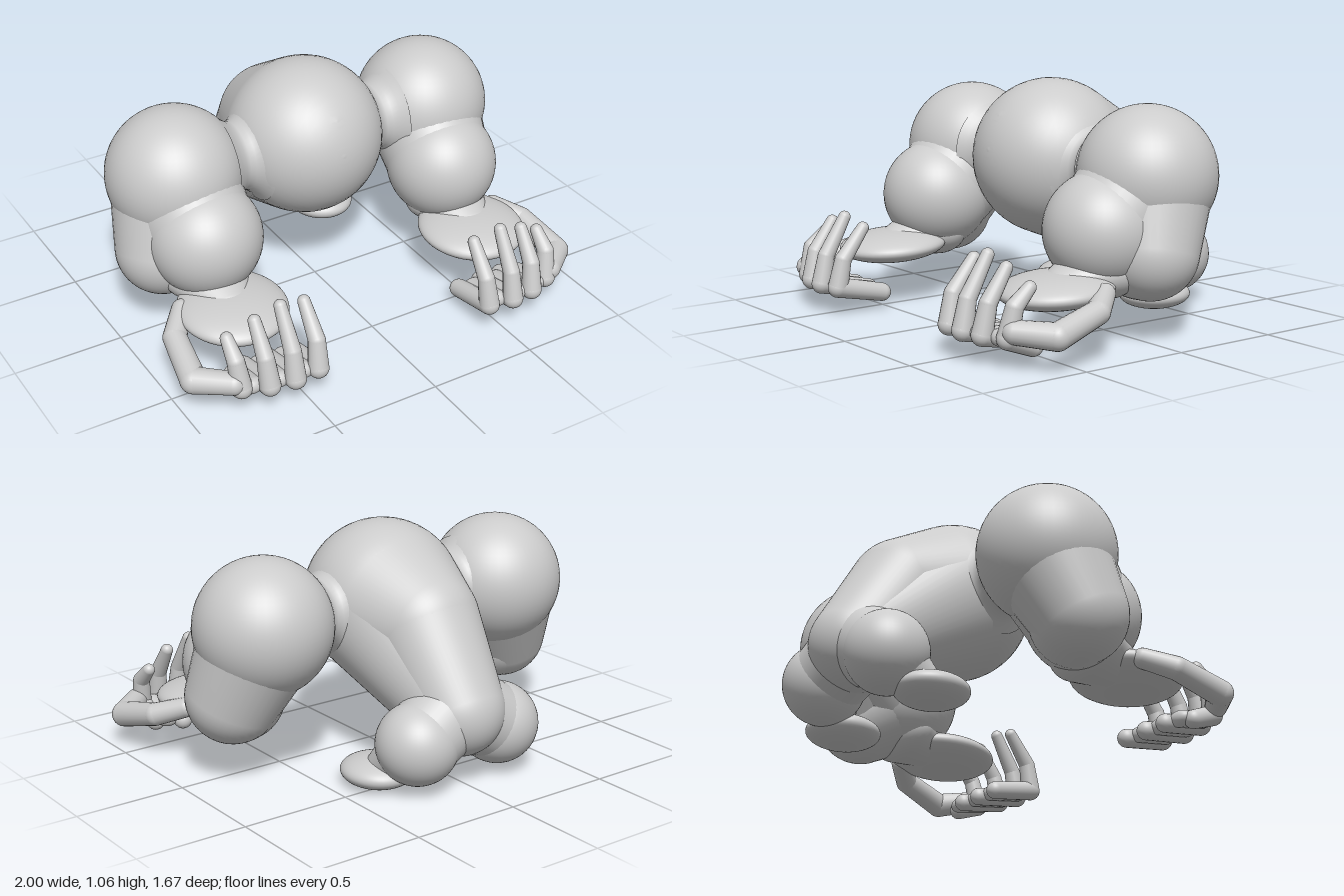
import * as THREE from 'three';

const material = new THREE.MeshStandardMaterial({ color: 0xcccccc, roughness: 0.8 });
const V = (p) => new THREE.Vector3(p[0], p[1], p[2]);

function add(parent, name, geometry) {
  const mesh = new THREE.Mesh(geometry, material);
  mesh.name = name;
  parent.add(mesh);
  return mesh;
}

// Ball (or ellipsoid when r is a list of three radii)
function ball(parent, name, p, r, tilt = 0) {
  const mesh = add(parent, name, new THREE.SphereGeometry(1, 48, 32));
  mesh.position.copy(V(p));
  Array.isArray(r) ? mesh.scale.set(...r) : mesh.scale.setScalar(r);
  mesh.rotation.x = tilt;
  return mesh;
}

// Smooth hull of two balls; each point is [x, y, z, radius]
function limb(parent, name, a, b, sides = 40) {
  const dir = V(b).sub(V(a));
  const d = dir.length();
  const t = Math.asin((a[3] - b[3]) / d);
  const profile = [];
  const arc = (r, y, from, to) => {
    for (let i = 0; i <= 14; i++) {
      const f = from + (to - from) * i / 14;
      profile.push(new THREE.Vector2(Math.max(0, r * Math.cos(f)), y + r * Math.sin(f)));
    }
  };
  arc(a[3], 0, -Math.PI / 2, t);
  arc(b[3], d, t, Math.PI / 2);
  const mesh = add(parent, name, new THREE.LatheGeometry(profile, sides));
  mesh.position.copy(V(a));
  mesh.quaternion.setFromUnitVectors(new THREE.Vector3(0, 1, 0), dir.normalize());
  return mesh;
}

function chain(parent, name, points) {
  for (let i = 0; i < points.length - 1; i++) limb(parent, name, points[i], points[i + 1], 20);
}

// Hunched body: chest, upper back and rump joined by tapered hulls
function buildBody() {
  const body = new THREE.Group();
  body.name = 'body';
  const chest = [0, 0.7, -0.1, 0.357], back = [0, 0.655, -0.385, 0.25], rump = [0, 0.325, -0.635, 0.203];
  limb(body, 'upperBack', chest, back, 64);
  limb(body, 'lowerBack', back, rump, 64);
  limb(body, 'belly', chest, rump, 64);
  return body;
}

// s is +1 for the left side and -1 for the right side
function buildArm(s) {
  const arm = new THREE.Group();
  arm.name = s > 0 ? 'leftArm' : 'rightArm';
  const P = (x, ...rest) => [s * x, ...rest];

  // Flared joint between chest and shoulder
  const flare = [[0.27, 0.23], [0.30, 0.19], [0.33, 0.165], [0.355, 0.157], [0.38, 0.167], [0.41, 0.19], [0.44, 0.22]];
  const joint = add(arm, 'shoulderJoint', new THREE.LatheGeometry(flare.map(([x, r]) => new THREE.Vector2(r, x)), 48));
  joint.rotation.z = -s * Math.PI / 2;
  joint.position.set(0, 0.69, -0.1);

  ball(arm, 'shoulder', P(0.645, 0.685, -0.115), 0.305);
  ball(arm, 'upperArm', P(0.62, 0.47, 0.11), 0.255);
  limb(arm, 'upperArmCore', P(0.64, 0.64, -0.09, 0.265), P(0.62, 0.47, 0.09, 0.24));
  limb(arm, 'elbow', P(0.67, 0.64, -0.12, 0.26), P(0.755, 0.38, -0.04, 0.21));
  limb(arm, 'elbowCore', P(0.62, 0.44, 0.08, 0.22), P(0.72, 0.37, -0.03, 0.2));

  // Flat forearm pad, with a bridge to the upper arm
  ball(arm, 'forearmPad', P(0.625, 0.25, 0.36), [0.242, 0.072, 0.252], 0.06);
  const bridge = limb(arm, 'forearm', P(0.63, 0.31, 0.12, 0.13), P(0.63, 0.265, 0.34, 0.07));
  bridge.scale.x = 1.5;

  arm.add(buildHand(P, s));
  return arm;
}

function buildHand(P, s) {
  const hand = new THREE.Group();
  hand.name = s > 0 ? 'leftHand' : 'rightHand';

  // Bent link from the pad round to the outer finger
  chain(hand, 'wristLink', [
    P(0.82, 0.25, 0.26, 0.045), P(0.91, 0.205, 0.37, 0.052), P(0.942, 0.145, 0.6, 0.058), P(0.815, 0.155, 0.715, 0.05),
  ]);

  // Each finger: x, knuckle z, tip y, tip z
  const fingers = [[0.435, 0.77, 0.385, 0.64], [0.56, 0.785, 0.42, 0.66], [0.68, 0.77, 0.385, 0.655], [0.795, 0.725, 0.32, 0.625]];
  fingers.forEach(([x, kz, ty, tz], i) => {
    const k = 0.56 + (x - 0.56) * 0.95;
    chain(hand, 'finger', [
      P(k, 0.075, 0.54 + (i === 3 ? 0.06 : 0), 0.042), P(k, 0.125, kz, 0.046),
      P(x, 0.25, kz - 0.025, 0.038), P(x, ty, tz, 0.028),
    ]);
  });

  // Webs filling the palm between neighbouring fingers
  for (let i = 0; i < 3; i++) {
    const x = 0.5 + i * 0.117;
    limb(hand, 'palmWeb', P(x, 0.085, 0.57, 0.036), P(x, 0.12, 0.745 - (i === 2 ? 0.02 : 0), 0.036), 20).scale.x = 1.5;
  }
  return hand;
}

function buildLeg(s) {
  const leg = new THREE.Group();
  leg.name = s > 0 ? 'leftLeg' : 'rightLeg';
  const P = (x, ...rest) => [s * x, ...rest];
  ball(leg, 'thigh', P(0.22, 0.22, -0.635), 0.182);
  limb(leg, 'hip', P(0.06, 0.31, -0.62, 0.18), P(0.2, 0.23, -0.635, 0.17));
  limb(leg, 'ankle', P(0.23, 0.19, -0.62, 0.14), P(0.295, 0.1, -0.5, 0.075));
  ball(leg, 'foot', P(0.305, 0.067, -0.465), [0.155, 0.067, 0.17]);
  return leg;
}

export function createModel() {
  const model = new THREE.Group();
  model.name = 'creature';
  model.add(buildBody());
  for (const s of [1, -1]) model.add(buildArm(s), buildLeg(s));
  return model;
}
